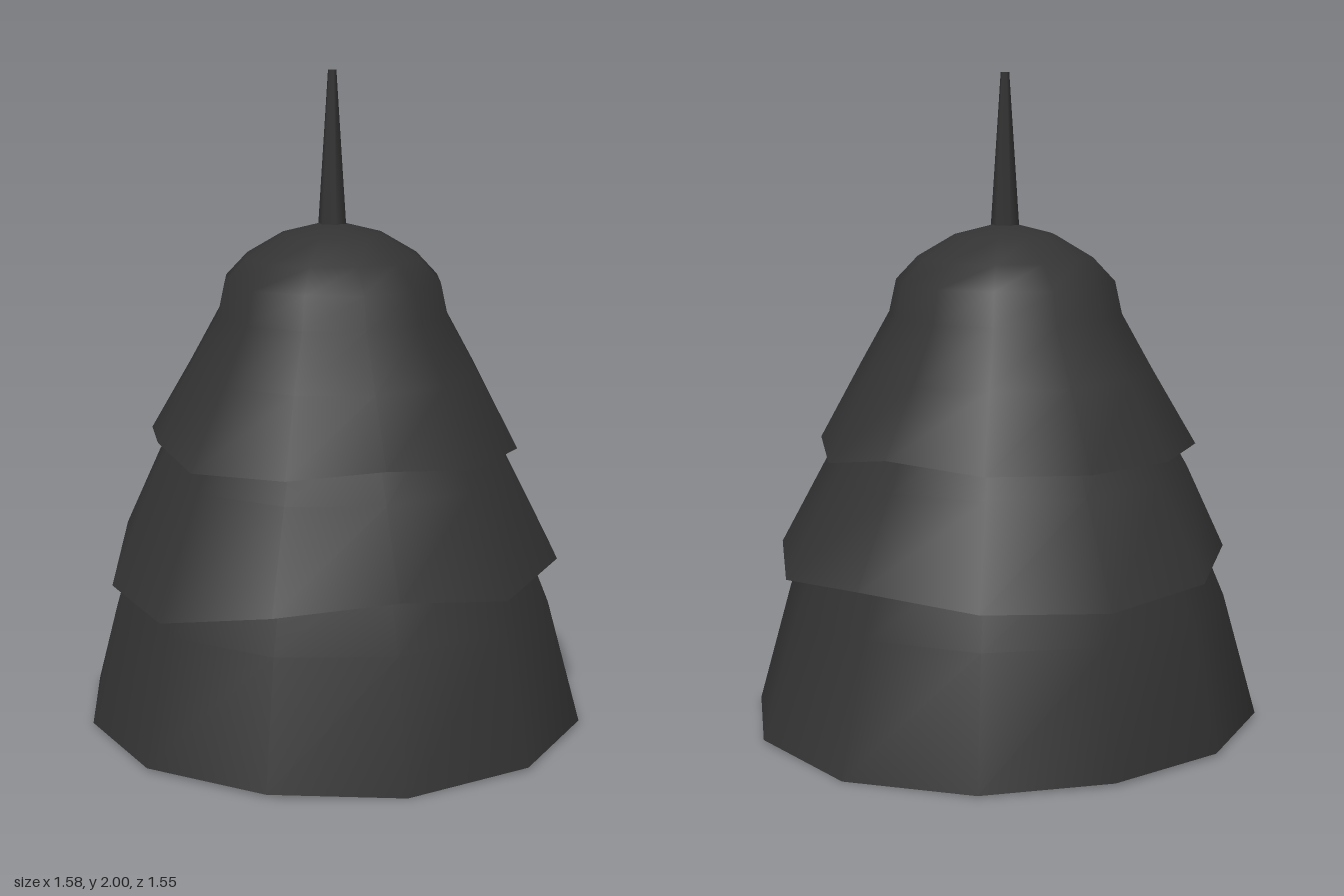
import * as THREE from 'three';
import { mergeVertices } from 'three/addons/utils/BufferGeometryUtils.js';

const SIDES = 12;

// Open tier: an uneven hem (radius and height per corner, starting at +z and
// turning towards +x) followed by regular rings [radius, y] up to its top.
function tierGeometry(hemRadii, hemHeights, rings) {
  const positions = [];
  const index = [];
  for (let row = 0; row <= rings.length; row++) {
    for (let i = 0; i < SIDES; i++) {
      const a = (i / SIDES) * Math.PI * 2;
      const [r, y] = row === 0 ? [hemRadii[i], hemHeights[i]] : rings[row - 1];
      positions.push(r * Math.sin(a), y, r * Math.cos(a));
    }
  }
  for (let row = 0; row < rings.length; row++) {
    for (let i = 0; i < SIDES; i++) {
      const j = (i + 1) % SIDES;
      const a = row * SIDES + i, b = row * SIDES + j;
      const c = b + SIDES, d = a + SIDES;
      index.push(a, b, c);
      if (rings[row][0] > 0) index.push(a, c, d);
    }
  }
  const geometry = new THREE.BufferGeometry();
  geometry.setAttribute('position', new THREE.Float32BufferAttribute(positions, 3));
  geometry.setIndex(index);
  const merged = mergeVertices(geometry, 1e-5);
  merged.computeVertexNormals();
  return merged;
}

export function createModel() {
  const group = new THREE.Group();
  group.name = 'tieredTree';
  const dark = new THREE.MeshStandardMaterial({ color: 0x333333, side: THREE.DoubleSide });

  const add = (name, geometry) => {
    const mesh = new THREE.Mesh(geometry, dark);
    mesh.name = name;
    group.add(mesh);
    return mesh;
  };

  // Lower tier, hollow and open below
  add('lowerTier', tierGeometry(
    [0.77, 0.78, 0.80, 0.79, 0.80, 0.80, 0.78, 0.76, 0.77, 0.79, 0.77, 0.78],
    [0.01, 0.0, 0.01, 0.01, 0.01, 0.0, 0.005, 0.01, 0.01, 0.01, 0.01, 0.01],
    [[0.685, 0.39], [0.58, 0.64]],
  ));

  // Middle tier with a wavy hem
  add('middleTier', tierGeometry(
    [0.70, 0.69, 0.71, 0.71, 0.72, 0.72, 0.72, 0.73, 0.72, 0.68, 0.70, 0.72],
    [0.51, 0.55, 0.50, 0.53, 0.50, 0.54, 0.51, 0.50, 0.52, 0.55, 0.45, 0.44],
    [[0.565, 0.80], [0.44, 1.02]],
  ));

  // Upper tier closing in a rounded crown
  add('upperTier', tierGeometry(
    [0.55, 0.56, 0.58, 0.58, 0.58, 0.59, 0.59, 0.59, 0.59, 0.59, 0.55, 0.59],
    [0.87, 0.90, 0.87, 0.87, 0.845, 0.90, 0.875, 0.87, 0.87, 0.87, 0.89, 0.865],
    [[0.455, 1.1], [0.36, 1.27], [0.338, 1.37], [0.27, 1.442], [0.155, 1.51], [0, 1.55]],
  ));

  // Six-sided spike on top
  const spike = add('spike', new THREE.CylinderGeometry(0.013, 0.044, 0.47, 6, 1, false, Math.PI / 6));
  spike.position.y = 1.765;

  return group;
}
